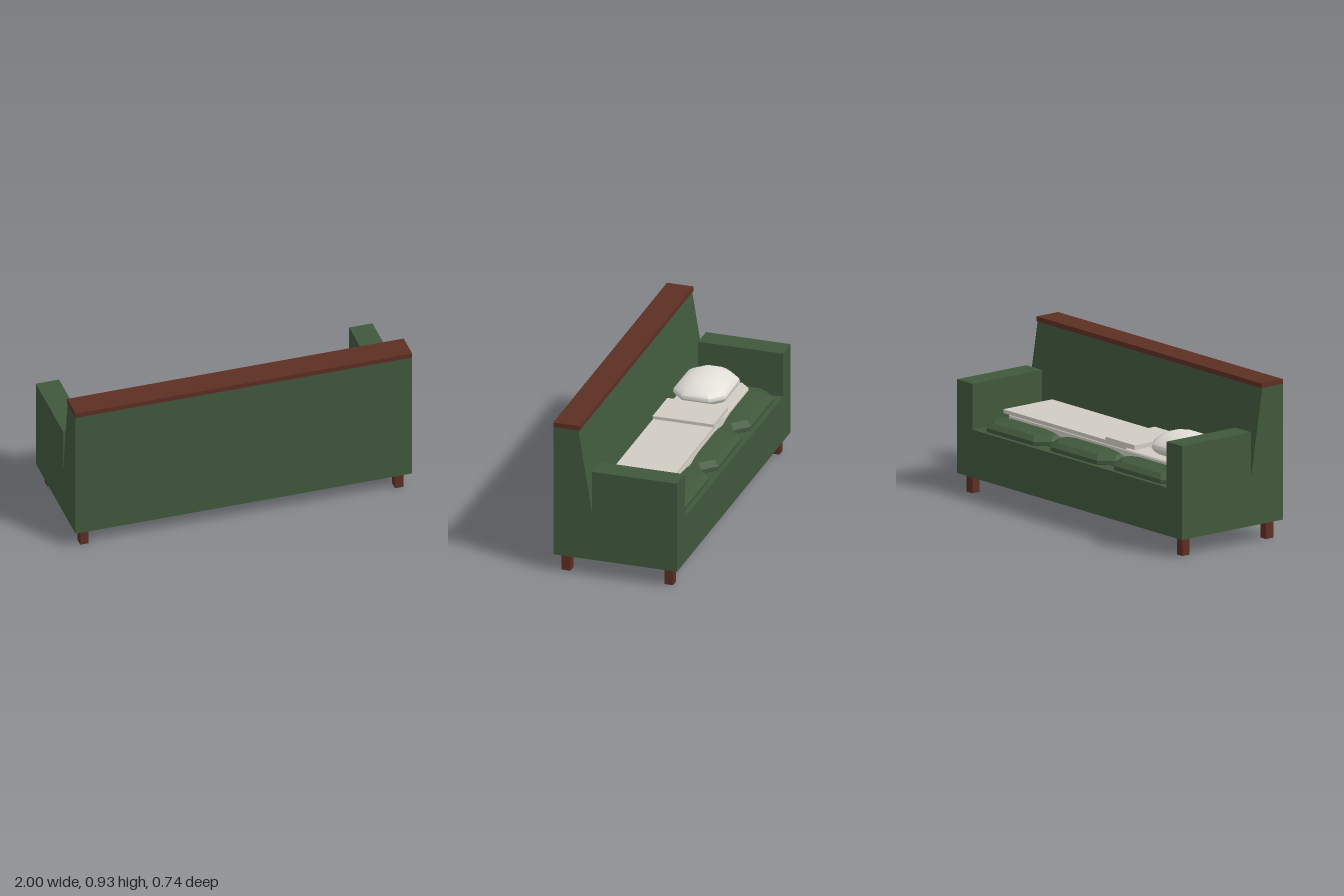
import * as THREE from 'three';
import { toCreasedNormals } from 'three/addons/utils/BufferGeometryUtils.js';

const material = (color) => new THREE.MeshStandardMaterial({ color });

// Stacked chamfered-rectangle rings: each level is [y, inset], closed at both ends.
function chamferedStack(width, depth, chamfer, levels, crease) {
  const positions = [];
  const index = [];
  for (const [y, inset] of levels) {
    const a = width / 2 - inset;
    const b = depth / 2 - inset;
    const c = Math.min(chamfer, a * 0.6, b * 0.6);
    const ring = [[a, b - c], [a - c, b], [c - a, b], [-a, b - c], [-a, c - b], [c - a, -b], [a - c, -b], [a, c - b]];
    for (const [x, z] of ring) positions.push(x, y, z);
  }
  for (let l = 0; l < levels.length - 1; l++) {
    for (let i = 0; i < 8; i++) {
      const p = l * 8 + i;
      const q = l * 8 + (i + 1) % 8;
      index.push(p, p + 8, q, q, p + 8, q + 8);
    }
  }
  const top = (levels.length - 1) * 8;
  for (let i = 1; i < 7; i++) {
    index.push(0, i, i + 1);
    index.push(top, top + i + 1, top + i);
  }
  const geometry = new THREE.BufferGeometry();
  geometry.setAttribute('position', new THREE.Float32BufferAttribute(positions, 3));
  geometry.setIndex(index);
  return toCreasedNormals(geometry, crease);
}

export function createModel() {
  const model = new THREE.Group();
  const green = material(0x40583c);
  const wood = material(0x5c2e23);
  const linen = material(0xd0ccc2);
  const white = material(0xe2dfd8);

  function add(name, geometry, mat, x = 0, y = 0, z = 0) {
    const mesh = new THREE.Mesh(geometry, mat);
    mesh.name = name;
    mesh.position.set(x, y, z);
    model.add(mesh);
    return mesh;
  }
  // Box given by its minimum and maximum corners
  function box(name, mat, [x0, y0, z0], [x1, y1, z1]) {
    add(name, new THREE.BoxGeometry(x1 - x0, y1 - y0, z1 - z0), mat, (x0 + x1) / 2, (y0 + y1) / 2, (z0 + z1) / 2);
  }

  // Sofa body: seat base and sloping backrest share one side profile
  const profile = new THREE.Shape();
  [[-0.37, 0.107], [0.37, 0.107], [0.37, 0.9], [0.22, 0.9], [0.137, 0.387], [-0.37, 0.387]]
    .forEach(([z, y], i) => (i ? profile.lineTo(-z, y) : profile.moveTo(-z, y)));
  const body = new THREE.ExtrudeGeometry(profile, { depth: 2, bevelEnabled: false });
  body.translate(0, 0, -1);
  body.rotateY(Math.PI / 2);
  add('seatAndBackrest', body, green);

  box('backrestCap', wood, [-1, 0.9, 0.212], [1, 0.928, 0.37]);

  // Arms and legs
  for (const side of [-1, 1]) {
    const label = side > 0 ? 'left' : 'right';
    const arm = new THREE.BoxGeometry(0.138, 0.268, 0.507);
    add(label + 'Arm', arm, green, side * 0.931, 0.521, -0.1165);
    for (const end of [-1, 1]) {
      const leg = new THREE.BoxGeometry(0.05, 0.107, 0.052);
      add(label + (end > 0 ? 'BackLeg' : 'SeatLeg'), leg, wood, side * 0.935, 0.0535, end * 0.307);
    }
  }

  // Three seat cushions
  const cushion = chamferedStack(0.565, 0.49, 0.075, [[0.37, 0.015], [0.39, 0], [0.412, 0], [0.438, 0.03], [0.452, 0.1]], 0.25);
  for (const i of [-1, 0, 1]) add('seatCushion', cushion, green, -0.006 + i * 0.567, 0, -0.1);

  // Bedding: sheet, blanket and its folded end
  const sheet = chamferedStack(1.59, 0.355, 0.05, [[0.425, 0.01], [0.435, 0], [0.465, 0], [0.472, 0.006]], 0.5);
  add('sheet', sheet, linen, -0.005, 0, -0.026);
  box('blanket', linen, [-0.3, 0.472, -0.205], [0.79, 0.494, 0.155]);
  box('blanketFold', linen, [-0.38, 0.485, -0.206], [-0.12, 0.512, 0.158]);

  // Pillow
  const pillow = chamferedStack(0.4, 0.315, 0.075,
    [[0.465, 0.04], [0.49, 0.01], [0.51, 0], [0.53, 0.002], [0.553, 0.022], [0.574, 0.05], [0.59, 0.085], [0.598, 0.125]], 0.9);
  add('pillow', pillow, white, -0.6, 0, -0.002);

  return model;
}
